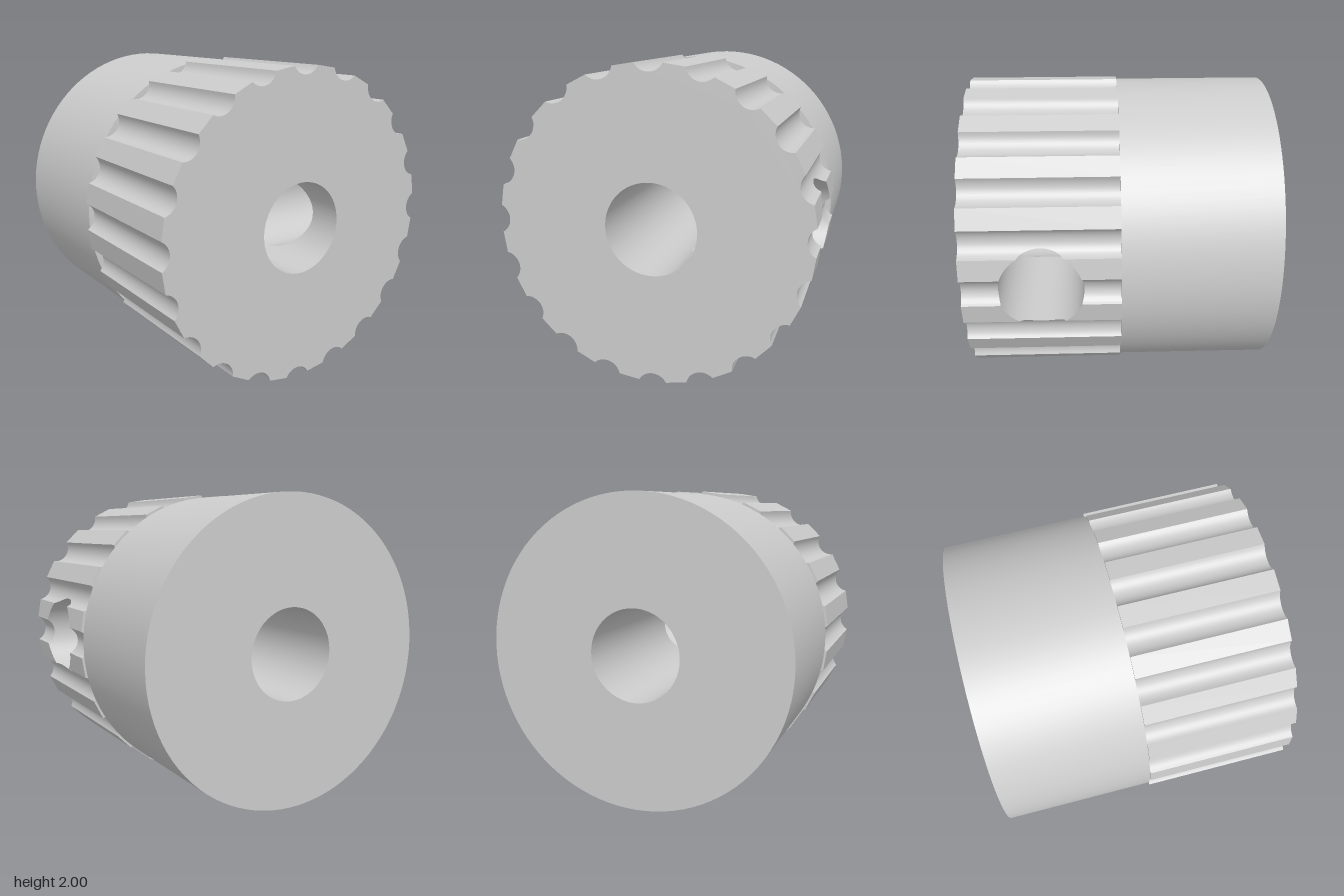
import * as THREE from 'three';
import { toCreasedNormals } from 'three/addons/utils/BufferGeometryUtils.js';

const L = 0.985;            // half length, also the plain hub radius
const BORE = 0.293;
const HOLE = 0.265, HOLE_Z = 0.4925; // screw hole on the +x side
const GROOVES = 20, GROOVE_R = 0.101, GROOVE_C = 1.046;

// counter-clockwise outline: concave grooves joined by flat lands
function grooveOutline() {
  const pts = [], steps = 12, half = Math.asin(0.089 / GROOVE_R);
  for (let k = 0; k < GROOVES; k++) {
    const a = (k / GROOVES) * Math.PI * 2;
    for (let i = 0; i <= steps; i++) {
      const f = half * (2 * i / steps - 1);
      const p = new THREE.Vector2(GROOVE_C - GROOVE_R * Math.cos(f), GROOVE_R * Math.sin(f));
      pts.push(p.rotateAround(new THREE.Vector2(), a));
    }
  }
  return pts;
}

function circle(r, n) {
  return Array.from({ length: n }, (_, i) => {
    const a = (i / n) * Math.PI * 2;
    return new THREE.Vector2(r * Math.cos(a), r * Math.sin(a));
  });
}

// add points at the given heights on the +x side of a closed outline
function splitAt(pts, ys) {
  const out = [];
  pts.forEach((a, i) => {
    const b = pts[(i + 1) % pts.length];
    out.push(a);
    if (a.x <= 0 || b.x <= 0) return;
    for (const y of ys)
      if (y > a.y + 1e-6 && y < b.y - 1e-6) out.push(a.clone().lerp(b, (y - a.y) / (b.y - a.y)));
  });
  return out;
}

// x of the outline's +x side at a height
function xAt(pts, y) {
  for (let i = 0; i < pts.length; i++) {
    const a = pts[i], b = pts[(i + 1) % pts.length];
    if (a.x > 0 && b.x > 0 && y >= a.y - 1e-7 && y <= b.y + 1e-7 && b.y > a.y)
      return a.x + (b.x - a.x) * (y - a.y) / (b.y - a.y);
  }
  return 0;
}

const chord = (y) => Math.sqrt(Math.max(0, HOLE * HOLE - y * y));

function quad(out, a, b, c, d, flip) {
  const order = flip ? [a, c, b, a, d, c] : [a, b, c, a, c, d];
  order.forEach((p) => out.push(...p));
}

// wall along z that leaves the round screw hole open
function piercedWall(pts, z0, z1, flip) {
  const out = [];
  pts.forEach((a, i) => {
    const b = pts[(i + 1) % pts.length];
    const strip = (za0, zb0, za1, zb1) =>
      quad(out, [a.x, a.y, za0], [b.x, b.y, zb0], [b.x, b.y, zb1], [a.x, a.y, za1], flip);
    if (a.x > 0 && b.x > 0 && Math.abs(a.y + b.y) / 2 < HOLE) {
      const ha = chord(a.y), hb = chord(b.y);
      strip(z0, z0, HOLE_Z - ha, HOLE_Z - hb);
      strip(HOLE_Z + ha, HOLE_Z + hb, z1, z1);
    } else strip(z0, z0, z1, z1);
  });
  return out;
}

function soup(positions) {
  const g = new THREE.BufferGeometry();
  g.setAttribute('position', new THREE.Float32BufferAttribute(positions, 3));
  return toCreasedNormals(g, 0.6);
}

export function createModel() {
  const group = new THREE.Group();
  const metal = new THREE.MeshStandardMaterial({ color: 0xcccccc });
  metal.name = 'plain grey metal';
  const add = (name, geometry) => {
    const mesh = new THREE.Mesh(geometry, metal);
    mesh.name = name;
    mesh.position.y = 1;
    group.add(mesh);
    return mesh;
  };

  // shared heights so the screw hole meets both walls exactly
  const rawOuter = grooveOutline(), rawBore = circle(BORE, 96);
  const ys = Array.from({ length: 41 }, (_, i) => HOLE * Math.sin((i / 40 - 0.5) * Math.PI));
  for (const p of [...rawOuter, ...rawBore])
    if (p.x > 0 && Math.abs(p.y) < HOLE && ys.every((y) => Math.abs(y - p.y) > 1e-5)) ys.push(p.y);
  ys.sort((a, b) => a - b);
  const outer = splitAt(rawOuter, ys), bore = splitAt(rawBore, ys);

  add('groovedGrip', soup(piercedWall(outer, 0, L, false)));
  add('shaftBore', soup(piercedWall(bore, -L, L, true)));

  // side hole running from the bore to the grip surface
  const wall = [];
  for (let i = 0; i < ys.length - 1; i++) {
    const a = ys[i], b = ys[i + 1];
    for (const s of [-1, 1]) {
      const za = HOLE_Z + s * chord(a), zb = HOLE_Z + s * chord(b);
      quad(wall, [xAt(bore, a), a, za], [xAt(outer, a), a, za],
        [xAt(outer, b), b, zb], [xAt(bore, b), b, zb], s > 0);
    }
  }
  add('screwHole', soup(wall));

  // front face, and the back rim of the lands that overhang the hub
  const face = (inner) => {
    const shape = new THREE.Shape(outer);
    shape.holes.push(new THREE.Path(inner));
    return new THREE.ShapeGeometry(shape);
  };
  add('frontFace', face(bore)).position.z = L;
  add('gripBackRim', face(circle(0.935, 96)).rotateY(Math.PI));

  // plain hub with its back face and the step seen at the groove ends
  const profile = [[BORE, -L], [L, -L], [L, 0], [0.935, 0]].map(([r, z]) => new THREE.Vector2(r, z));
  add('plainHub', toCreasedNormals(new THREE.LatheGeometry(profile, 96).rotateX(Math.PI / 2), 0.6));
  return group;
}
